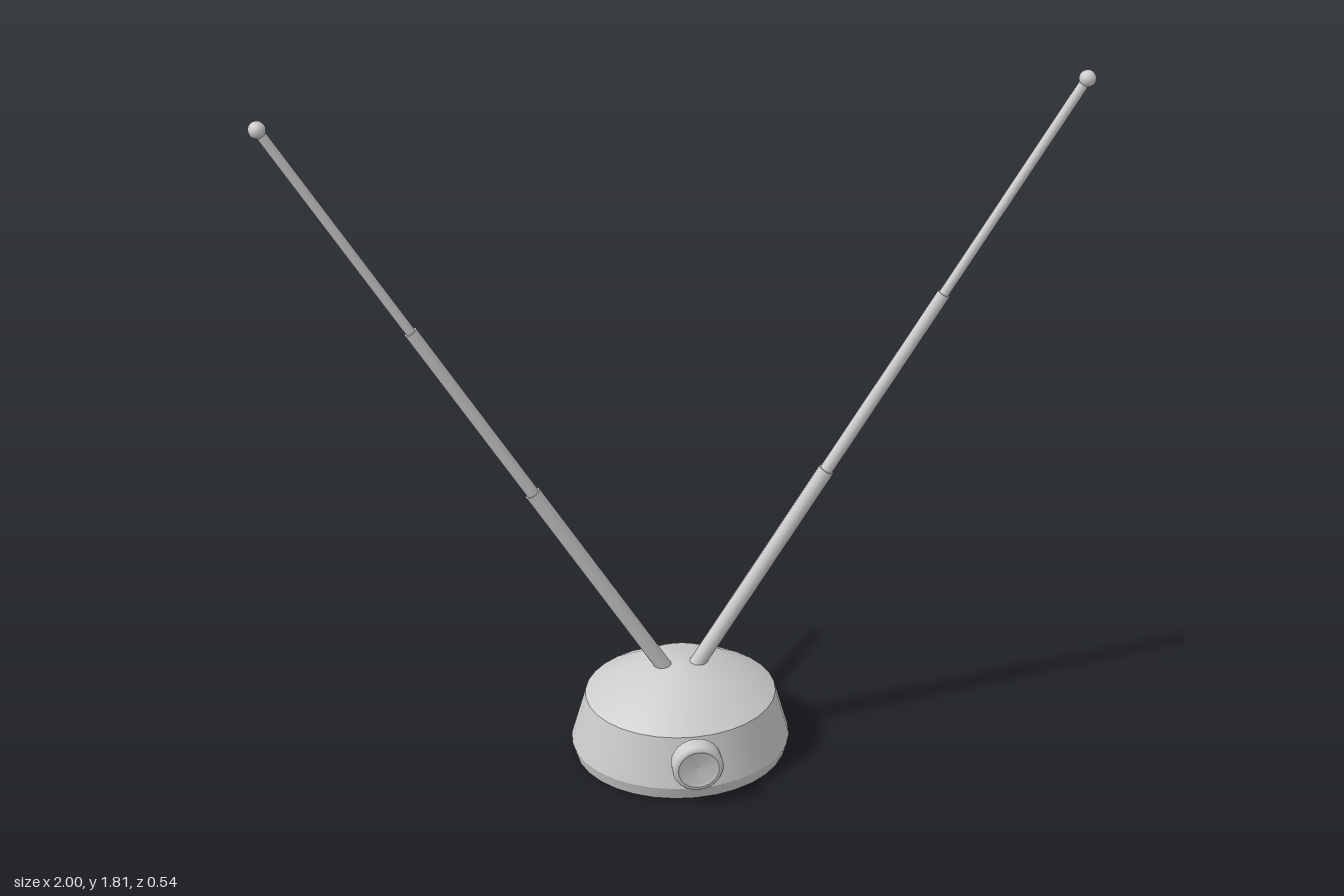
import * as THREE from 'three';

const grey = new THREE.MeshStandardMaterial({ color: 0xcccccc });
const BASE_Z = -0.016;

function add(parent, name, geometry) {
  const mesh = new THREE.Mesh(geometry, grey);
  mesh.name = name;
  parent.add(mesh);
  return mesh;
}

// Profile points are [radius, height], listed from bottom to top
function lathe(points, segments) {
  return new THREE.LatheGeometry(points.map(([r, y]) => new THREE.Vector2(r, y)), segments);
}

// Oval base: separate bands keep the edges between them sharp
function createBase() {
  const base = new THREE.Group();
  base.name = 'base';
  add(base, 'baseBottom', lathe([[0, 0], [0.273, 0]], 32));
  add(base, 'baseFoot', lathe([[0.273, 0], [0.283, 0.035]], 32));
  add(base, 'baseWall', lathe([[0.283, 0.035], [0.246, 0.168]], 32));
  add(base, 'baseDome', lathe([[0.246, 0.168], [0.112, 0.247], [0, 0.256]], 32));
  base.scale.z = 0.9;
  base.position.z = BASE_Z;
  return base;
}

// Tuning knob with a shallow dished face, turned to face the front
function createKnob() {
  const knob = new THREE.Group();
  knob.name = 'knob';
  add(knob, 'knobStem', new THREE.CylinderGeometry(0.04, 0.04, 0.06, 24)).position.y = -0.01;
  add(knob, 'knobBack', lathe([[0, 0], [0.064, 0]], 24));
  add(knob, 'knobRim', lathe([[0.064, 0], [0.065, 0.037], [0.061, 0.044], [0.052, 0.045]], 24));
  add(knob, 'knobFace', lathe([[0.052, 0.045], [0.046, 0.041], [0, 0.037]], 24));
  knob.rotation.x = Math.PI / 2;
  knob.position.set(0, 0.112, 0.225);
  return knob;
}

// Telescopic rod leaning outwards: three sections, each thinner than the last
function createRod(side) {
  const rod = new THREE.Group();
  rod.name = side > 0 ? 'leftRod' : 'rightRod';
  const start = new THREE.Vector2(0.012, 0.195);
  const tip = new THREE.Vector2(0.978, 1.79);
  const length = start.distanceTo(tip);
  const along = (y) => ((y - start.y) / (tip.y - start.y)) * length;
  const sections = [
    ['lowerSection', 0.195, 0.785, 0.0205],
    ['middleSection', 0.785, 1.25, 0.0165],
    ['upperSection', 1.25, 1.79, 0.0125],
  ];
  for (const [name, y0, y1, radius] of sections) {
    const a = along(y0), b = along(y1);
    add(rod, name, new THREE.CylinderGeometry(radius, radius, b - a, 12)).position.y = (a + b) / 2;
  }
  add(rod, 'tipBall', new THREE.SphereGeometry(0.021, 16, 10)).position.y = length;
  rod.position.set(side * start.x, start.y, BASE_Z + 0.002);
  rod.rotation.z = -side * Math.atan2(tip.x - start.x, tip.y - start.y);
  return rod;
}

export function createModel() {
  const model = new THREE.Group();
  model.name = 'antenna';
  model.add(createBase(), createKnob(), createRod(1), createRod(-1));
  return model;
}
